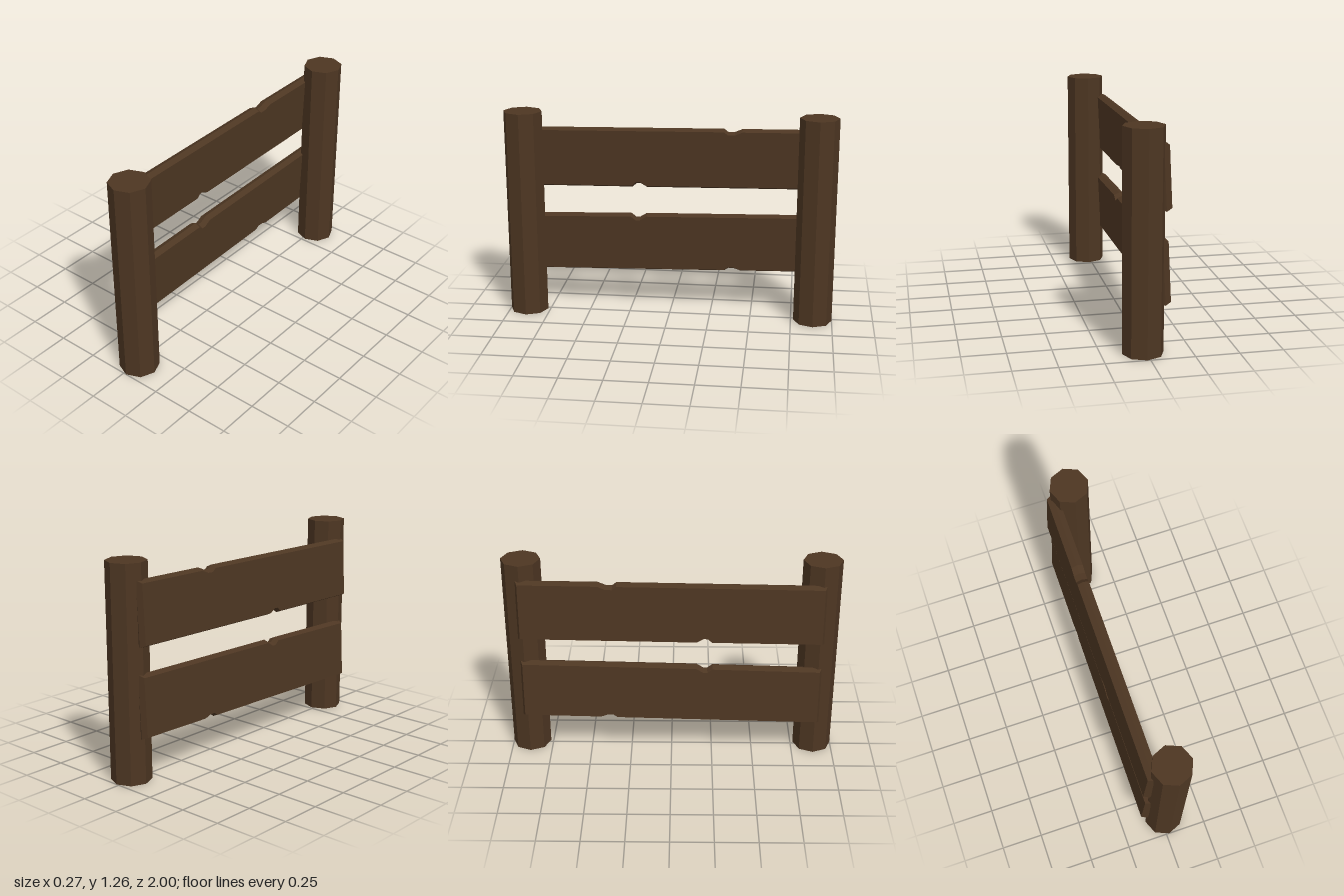
import * as THREE from 'three';

const wood = new THREE.MeshStandardMaterial({ color: 0x4d3622 });
wood.name = 'darkWood';

// Plank with a ridge round its rim: outer face, ridge and inner face.
// top and bottom list [z, y] of the ridge, from +z to -z.
function plankGeometry(top, bottom) {
  const middle = (top[0][1] + bottom[0][1]) / 2;
  const layers = [
    { x: -0.128, inset: 0.015 },
    { x: -0.094, inset: 0 },
    { x: -0.06, inset: 0.015 },
  ].map(({ x, inset }) => {
    const place = (side) => ([z, y]) => {
      const zz = Math.abs(z) > 0.8 ? z - Math.sign(z) * inset : z;
      const yy = y + side * inset;
      return new THREE.Vector3(x + 0.05 * (yy - middle), yy, zz);
    };
    return [...bottom.map(place(1)), ...top.map(place(-1)).reverse()];
  });

  const points = [];
  const n = layers[0].length;
  // rim bands
  for (let k = 0; k < 2; k++) {
    const a = layers[k], b = layers[k + 1];
    for (let i = 0; i < n; i++) {
      const j = (i + 1) % n;
      points.push(a[i], a[j], b[j], a[i], b[j], b[i]);
    }
  }
  // broad faces
  const cap = (layer, flip) => {
    const flat = layer.map((p) => new THREE.Vector2(-p.z, p.y));
    for (const [i, j, k] of THREE.ShapeUtils.triangulateShape(flat, [])) {
      points.push(layer[i], layer[flip ? k : j], layer[flip ? j : k]);
    }
  };
  cap(layers[0], true);
  cap(layers[2], false);

  const geometry = new THREE.BufferGeometry().setFromPoints(points);
  geometry.computeVertexNormals();
  return geometry;
}

export function createModel() {
  const group = new THREE.Group();
  group.name = 'fence';
  const add = (name, geometry) => {
    const mesh = new THREE.Mesh(geometry, wood);
    mesh.name = name;
    group.add(mesh);
    return mesh;
  };

  // octagonal posts
  const postGeometry = new THREE.CylinderGeometry(0.117, 0.117, 1.264, 8).toNonIndexed();
  postGeometry.computeVertexNormals();
  add('frontPost', postGeometry).position.set(0.018, 0.632, 0.883);
  add('backPost', postGeometry).position.set(0.018, 0.632, -0.883);

  // planks, each with a notch in its top and bottom edge
  add('upperPlank', plankGeometry(
    [[0.905, 1.146], [-0.32, 1.163], [-0.345, 1.143], [-0.385, 1.145], [-0.43, 1.164], [-0.91, 1.17]],
    [[0.905, 0.771], [0.24, 0.78], [0.215, 0.803], [0.19, 0.804], [0.15, 0.781], [-0.91, 0.797]],
  ));
  add('lowerPlank', plankGeometry(
    [[0.905, 0.6], [0.245, 0.617], [0.215, 0.593], [0.19, 0.595], [0.15, 0.62], [-0.91, 0.642]],
    [[0.905, 0.229], [-0.33, 0.257], [-0.355, 0.275], [-0.39, 0.274], [-0.43, 0.26], [-0.91, 0.27]],
  ));

  return group;
}
